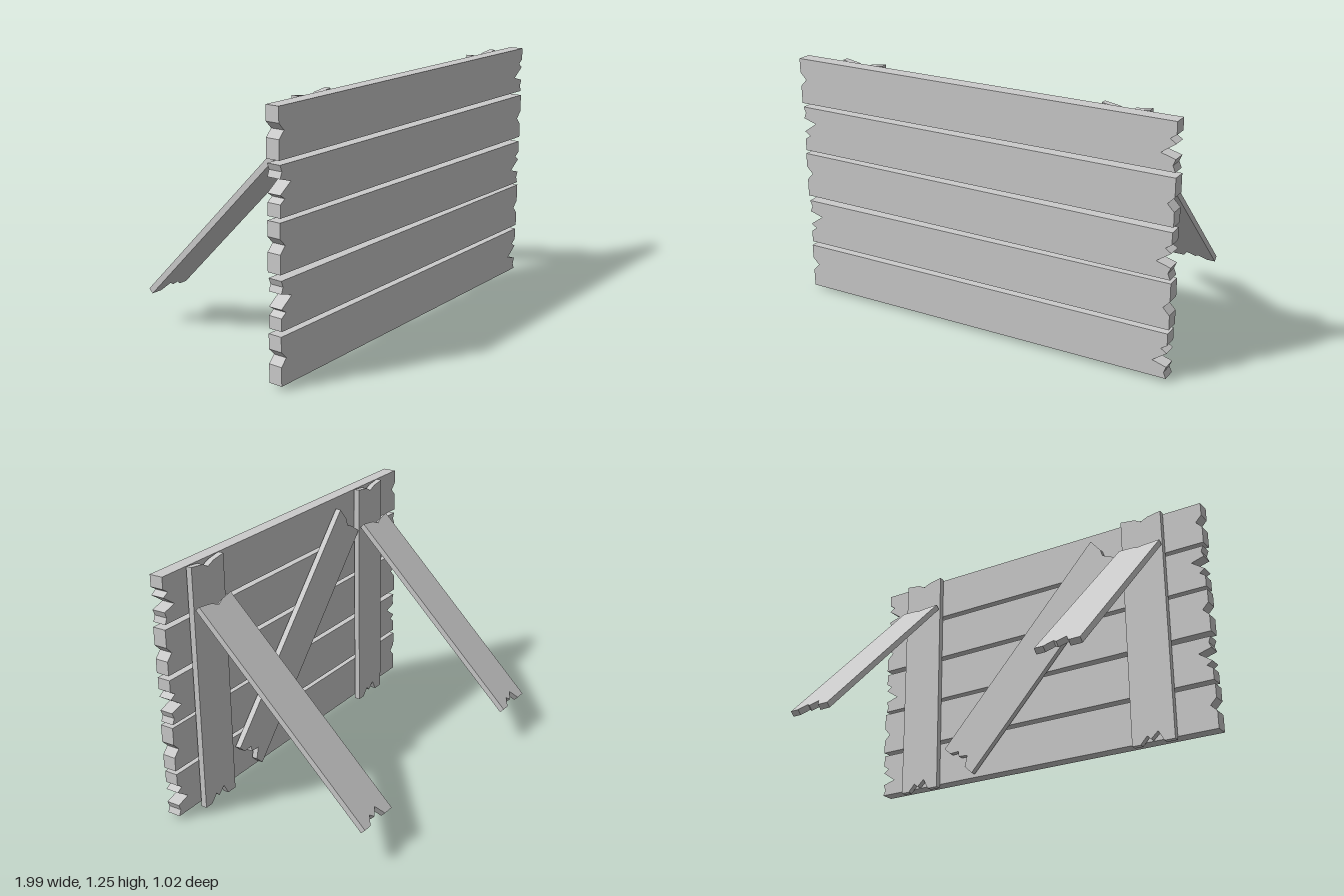
import * as THREE from 'three';

const material = new THREE.MeshStandardMaterial({ color: 0xcccccc, flatShading: true });

// Splintered ends as [fraction across the width, depth of the cut]
const PLANK_RIGHT = [[0, 0], [0.13, 0.012], [0.26, 0], [0.35, 0.07], [0.565, 0], [0.65, 0.03], [0.74, 0], [1, 0]];
const PLANK_LEFT = [[0, 0], [0.39, 0], [0.54, 0.033], [0.69, 0], [1, 0]];
const BOARD_TOP = [[0, 0], [0.35, 0.01], [0.5, 0.03], [0.68, 0.012], [1, 0]];
const BOARD_FOOT = [[0, 0], [0.2, 0], [0.36, 0.04], [0.45, 0.02], [0.62, 0.055], [0.75, 0], [1, 0]];

// A board lying along x, centred, with a broken outline at each end
function board(name, length, width, thickness, rightEnd, leftEnd) {
  const points = [
    ...rightEnd.map(([t, d]) => new THREE.Vector2(length / 2 - d, (t - 0.5) * width)),
    ...[...leftEnd].reverse().map(([t, d]) => new THREE.Vector2(-length / 2 + d, (t - 0.5) * width)),
  ];
  const geometry = new THREE.ExtrudeGeometry(new THREE.Shape(points), { depth: thickness, bevelEnabled: false });
  geometry.translate(0, 0, -thickness / 2);
  const mesh = new THREE.Mesh(geometry, material);
  mesh.name = name;
  return mesh;
}

export function createModel() {
  const model = new THREE.Group();
  model.name = 'woodenBarricade';

  // Five horizontal planks, every second one turned end for end
  const tilts = [0.002, 0.001, -0.005, -0.002, 0];
  tilts.forEach((tilt, i) => {
    const plank = board('plank' + (i + 1), 1.99, 0.228, 0.07, PLANK_RIGHT, PLANK_LEFT);
    plank.position.set(i % 2 ? 0 : -0.004, 0.135 + i * 0.2495, 0.475);
    plank.rotation.z = tilt + (i % 2 ? Math.PI : 0);
    model.add(plank);
  });

  // Uprights behind the planks, each with a leg leaning back
  for (const [side, x] of [['right', -0.675], ['left', 0.72]]) {
    const upright = board(side + 'Upright', 1.25, 0.23, 0.03, BOARD_TOP, BOARD_FOOT);
    upright.position.set(x, 0.625, 0.418);
    upright.rotation.z = Math.PI / 2;

    const leg = board(side + 'Leg', 1.25, 0.23, 0.03, BOARD_TOP, BOARD_FOOT);
    leg.position.set(x, 0.613, -0.06);
    leg.rotation.set(Math.PI / 4, 0, Math.PI / 2);
    model.add(upright, leg);
  }

  // Diagonal brace between the uprights
  const brace = board('diagonalBrace', 1.36, 0.24, 0.03, BOARD_TOP, BOARD_FOOT);
  brace.position.set(0, 0.613, 0.416);
  brace.rotation.z = 2.326;
  model.add(brace);

  return model;
}
